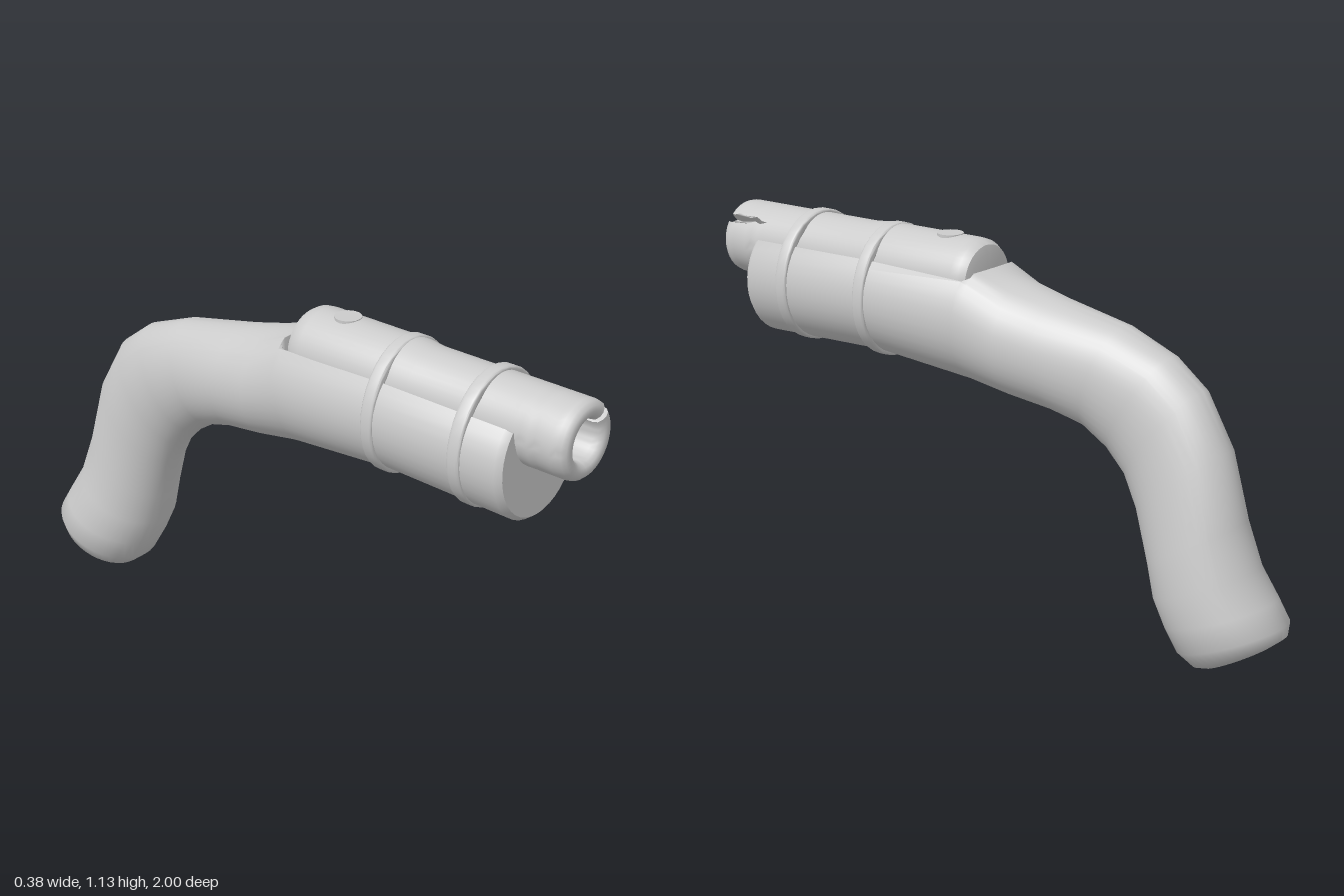
import * as THREE from 'three';
import { toCreasedNormals } from 'three/addons/utils/BufferGeometryUtils.js';

const grey = new THREE.MeshStandardMaterial({ color: 0xcccccc });
const greyThin = new THREE.MeshStandardMaterial({ color: 0xcccccc, side: THREE.DoubleSide });
const BARREL_Y = 1.017;

function part(name, geometry, material = grey) {
  const mesh = new THREE.Mesh(geometry, material);
  mesh.name = name;
  return mesh;
}

// Stock stations: bottom z, y; top z, y; right and left x limits
const stations = [
  [0.848, 0.75, 0.84, 1.095, -0.168, 0.168],
  [0.83, 0.736, 0.82, 1.11, -0.182, 0.182],
  [0.4, 0.745, 0.4, 1.11, -0.176, 0.176],
  [0.05, 0.715, 0.03, 1.1, -0.17, 0.17],
  [0.03, 0.712, 0.01, 1.09, -0.168, 0.168],
  [-0.1, 0.69, -0.1, 1.033, -0.16, 0.155],
  [-0.24, 0.672, -0.22, 1.003, -0.15, 0.14],
  [-0.34, 0.643, -0.45, 0.957, -0.135, 0.115],
  [-0.42, 0.59, -0.61, 0.895, -0.125, 0.108],
  [-0.48, 0.525, -0.715, 0.815, -0.122, 0.108],
  [-0.53, 0.44, -0.81, 0.66, -0.12, 0.127],
  [-0.58, 0.3, -0.865, 0.46, -0.13, 0.15],
  [-0.605, 0.2, -0.91, 0.33, -0.145, 0.16],
  [-0.64, 0.12, -0.96, 0.24, -0.165, 0.158],
  [-0.68, 0.05, -0.998, 0.178, -0.165, 0.15],
  [-0.73, 0.01, -0.995, 0.14, -0.14, 0.12],
  [-0.765, 0.008, -0.965, 0.115, -0.1, 0.085],
];

// One cross-section: an ellipse whose upper arc dips into the barrel channel on the fore-end
function stockRing([bz, by, tz, ty, xr, xl]) {
  const OUTER = 28, INNER = 14, edge = THREE.MathUtils.degToRad(42);
  const cx = (xr + xl) / 2, w = (xl - xr) / 2, channel = bz > 0.04;
  const onEllipse = (a) => {
    const s = Math.sin(a);
    return new THREE.Vector3(cx + w * Math.cos(a),
      Math.min(1.057, (by + ty) / 2 + s * (ty - by) / 2), (bz + tz) / 2 + s * (tz - bz) / 2);
  };
  const ring = [];
  for (let i = 0; i <= OUTER; i++) ring.push(onEllipse(edge - (i / OUTER) * (Math.PI + 2 * edge)));
  for (let i = 0; i <= INNER; i++) {
    const s = i / INNER;
    const p = onEllipse(Math.PI - edge - (s * 0.96 + 0.02) * (Math.PI - 2 * edge));
    if (channel) {
      const a = Math.PI * (1 + s);
      p.x = Math.min(0.122, w * 0.72) * Math.cos(a);
      p.y = BARREL_Y + 0.02 * Math.abs(Math.cos(a)) + 0.117 * Math.sin(a);
    }
    ring.push(p);
  }
  return ring;
}

function buildStock() {
  const rings = stations.map(stockRing), n = rings[0].length;
  const verts = rings.flat(), index = [];
  for (let i = 0; i < rings.length - 1; i++) {
    for (let j = 0; j < n; j++) {
      const a = i * n + j, b = i * n + (j + 1) % n;
      index.push(a, b, a + n, b, b + n, a + n);
    }
  }
  // butt of the grip
  const last = (rings.length - 1) * n;
  verts.push(new THREE.Vector3(-0.005, 0.06, -0.866));
  for (let j = 0; j < n; j++) index.push(last + j, last + (j + 1) % n, verts.length - 1);
  const geo = new THREE.BufferGeometry().setFromPoints(verts);
  geo.setIndex(index);

  // face of the fore-end, following the first ring
  const face = new THREE.ShapeGeometry(new THREE.Shape(rings[0].map((p) => new THREE.Vector2(p.x, p.y))));
  const pos = face.attributes.position, [bz, by, tz, ty] = stations[0];
  for (let i = 0; i < pos.count; i++) {
    pos.setZ(i, bz + (tz - bz) * (pos.getY(i) - by) / (ty - by));
  }
  face.computeVertexNormals();
  const group = new THREE.Group();
  group.name = 'stock';
  group.add(part('stockBody', toCreasedNormals(geo, 0.8)), part('foreEndFace', face));
  return group;
}

// Barrel profile (radius, z): breech, tube, rounded muzzle rim, bore
function barrelProfile() {
  const pts = [
    [0, 0.028], [0.08, 0.028], [0.105, 0.034], [0.118, 0.055], [0.121, 0.08], [0.121, 0.42], [0.115, 0.47],
  ].map(([r, z]) => new THREE.Vector2(r, z));
  for (let i = 0; i < 6; i++) pts.push(new THREE.Vector2(0.115, 0.83 + i * 0.024));
  for (let i = 0; i <= 6; i++) {
    const a = (i / 6) * Math.PI;
    pts.push(new THREE.Vector2(0.0875 + 0.0275 * Math.cos(a), 0.97 + 0.03 * Math.sin(a)));
  }
  pts.push(new THREE.Vector2(0.06, 0.9), new THREE.Vector2(0, 0.9));
  return pts;
}

// The muzzle is split by a crack that widens forwards and wanders a little
const crackHalf = (z) => 0.13 * Math.sqrt(Math.max(0, (z - 0.83) / 0.17));
const crackAngle = (z) => 0.72 + (z > 0.83 ? 0.05 * Math.sin(z * 95) : 0);

function buildBarrel() {
  const group = new THREE.Group();
  group.name = 'barrel';
  const profile = barrelProfile();
  const tube = new THREE.LatheGeometry(profile, 40);
  const pos = tube.attributes.position, uv = tube.attributes.uv;
  for (let i = 0; i < pos.count; i++) {
    const z = pos.getY(i), r = Math.hypot(pos.getX(i), pos.getZ(i)), g = crackHalf(z);
    const a = crackAngle(z) + g + uv.getX(i) * (2 * Math.PI - 2 * g);
    pos.setXYZ(i, r * Math.cos(a), r * Math.sin(a), z);
  }
  group.add(part('barrelTube', toCreasedNormals(tube, 0.7)));

  // two walls of the crack
  const outline = profile.filter((p) => p.y >= 0.83);
  outline.push(new THREE.Vector2(0, 0.83));
  for (const side of [-1, 1]) {
    const wall = new THREE.ShapeGeometry(new THREE.Shape(outline));
    const p = wall.attributes.position;
    for (let i = 0; i < p.count; i++) {
      const r = p.getX(i), z = p.getY(i), a = crackAngle(z) + side * crackHalf(z);
      p.setXYZ(i, r * Math.cos(a), r * Math.sin(a), z);
    }
    wall.computeVertexNormals();
    group.add(part('crackWall', wall, greyThin));
  }

  // plug on top of the breech
  const plug = part('touchHolePlug', new THREE.CylinderGeometry(0.04, 0.04, 0.04, 20));
  plug.position.set(0, 0.103, 0.17);
  group.add(plug);
  group.position.y = BARREL_Y;
  return group;
}

// Strap around stock and barrel
function buildBand(name, z, halfWidth) {
  const loop = (grow) => {
    const pts = [];
    for (let i = 0; i < 36; i++) {
      const a = (i / 36) * Math.PI * 2, s = Math.sin(a);
      pts.push(new THREE.Vector2((halfWidth + grow) * Math.cos(a), 0.9225 + s * ((s > 0 ? 0.212 : 0.184) + grow)));
    }
    return pts;
  };
  const shape = new THREE.Shape(loop(0));
  shape.holes.push(new THREE.Path(loop(-0.012)));
  const geo = new THREE.ExtrudeGeometry(shape, {
    depth: 0.026, bevelEnabled: true, bevelSize: 0.007, bevelThickness: 0.008, bevelSegments: 3,
  });
  geo.translate(0, 0, z - 0.013);
  return part(name, toCreasedNormals(geo, 0.7));
}

export function createModel() {
  const model = new THREE.Group();
  model.name = 'antiquePistol';
  model.add(buildStock(), buildBarrel());
  model.add(buildBand('rearBand', 0.385, 0.175), buildBand('frontBand', 0.69, 0.181));
  return model;
}
